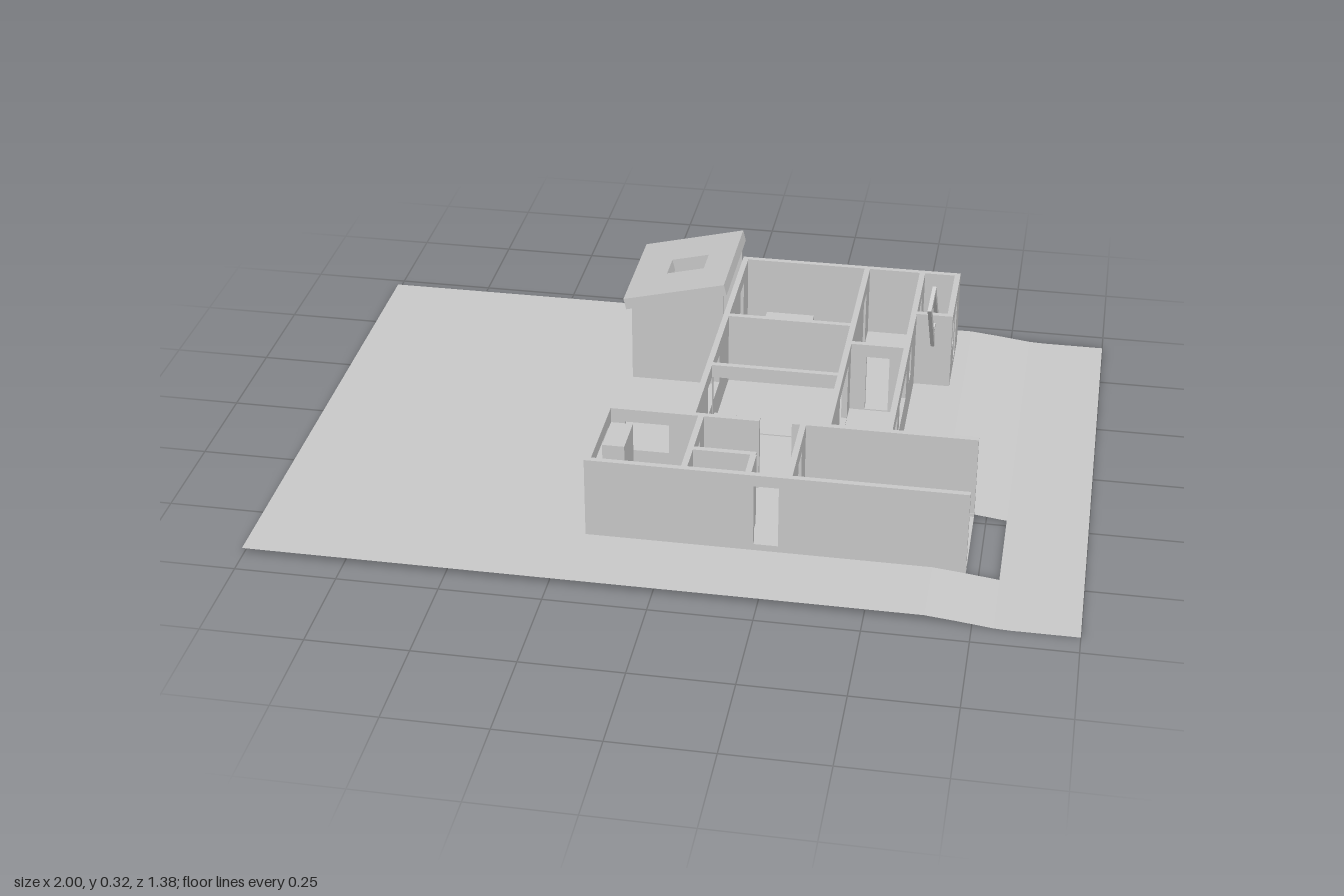
import * as THREE from 'three';

const grey = new THREE.MeshStandardMaterial({ color: 0xcccccc, flatShading: true, side: THREE.DoubleSide });
const yellow = new THREE.MeshStandardMaterial({ color: 0xe0c86a, flatShading: true });

const BASE = 0.02, FLOOR = 0.037, TOP = 0.23;
// opening helpers: [start, end, bottom, top]
const win = (a, b) => [a, b, 0.115, 0.195];
const door = (a, b) => [a, b, 0.04, 0.195];

// flat panel from corner points with rectangular holes, extruded by t
function panel(points, t, holes = []) {
  const s = new THREE.Shape(points.map(p => new THREE.Vector2(p[0], p[1])));
  for (const [a, b, c, d] of holes) {
    s.holes.push(new THREE.Path([[a, c], [a, d], [b, d], [b, c]].map(p => new THREE.Vector2(p[0], p[1]))));
  }
  return new THREE.ExtrudeGeometry(s, { depth: t, bevelEnabled: false });
}
const rect = (a, b, c, d) => [[a, c], [b, c], [b, d], [a, d]];

export function createModel() {
  const group = new THREE.Group();
  const add = (name, geo, mat = grey) => {
    const m = new THREE.Mesh(geo, mat);
    m.name = name;
    group.add(m);
    return m;
  };
  const box = (name, x0, x1, y0, y1, z0, z1, mat) =>
    add(name, new THREE.BoxGeometry(x1 - x0, y1 - y0, z1 - z0)
      .translate((x0 + x1) / 2, (y0 + y1) / 2, (z0 + z1) / 2), mat);
  // wall running along x, from z to z + t
  const wallX = (name, x0, x1, z, holes, t = 0.015) =>
    add(name, panel(rect(x0, x1, BASE, TOP), t, holes).translate(0, 0, z));
  // wall running along z, from x to x + t
  const wallZ = (name, x, z0, z1, holes, t = 0.015) =>
    add(name, panel(rect(z0, z1, BASE, TOP), t, holes).rotateY(-Math.PI / 2).translate(x + t, 0, 0));

  // ground sheet: falls away to the +x side, with a gap for the garage ramp
  const xs = [-1, 0.3, 0.64, 0.72, 0.8, 0.84, 1], zs = [-0.69, 0.23, 0.49, 0.69];
  const height = x => BASE * (1 - THREE.MathUtils.smoothstep(x, 0.62, 0.84));
  const pos = [];
  for (let i = 0; i < xs.length - 1; i++) {
    for (let j = 0; j < 3; j++) {
      if (j === 1 && xs[i] >= 0.3 && xs[i] < 0.79) continue;
      const v = (a, b) => [xs[a], height(xs[a]), zs[b]];
      pos.push(...v(i, j), ...v(i, j + 1), ...v(i + 1, j + 1), ...v(i, j), ...v(i + 1, j + 1), ...v(i + 1, j));
    }
  }
  const ground = new THREE.BufferGeometry();
  ground.setAttribute('position', new THREE.Float32BufferAttribute(pos, 3));
  ground.computeVertexNormals();
  add('ground', ground);

  // floors
  box('mainFloor', 0.015, 0.5, BASE, FLOOR, -0.615, 0.235);
  box('annexFloor', 0.5, 0.6, BASE, FLOOR, -0.615, -0.38);
  box('wingFloor', -0.19, 0.295, BASE, FLOOR, 0.235, 0.48);
  box('shedFloor', -0.23, 0.015, BASE, FLOOR, -0.6, -0.285);
  box('garageFloor', 0.295, 0.72, 0.005, 0.012, 0.23, 0.49);
  box('garageSill', 0.295, 0.3, 0.005, FLOOR, 0.23, 0.49);
  box('garageFooting', 0.3, 0.72, 0.005, BASE, 0.478, 0.49);
  box('garageFooting', 0.3, 0.72, 0.005, BASE, 0.23, 0.242);

  // main block, outer walls
  wallX('backWall', 0.01, 0.605, -0.625);
  wallZ('westWall', 0.01, -0.61, 0.225, [door(-0.535, -0.475), win(-0.13, 0.045)]);
  wallZ('eastWall', 0.495, -0.61, 0.225,
    [door(-0.535, -0.475), win(-0.26, -0.21), win(-0.13, 0.045), win(0.095, 0.195)]);
  // annex on the east side
  wallZ('annexEastWall', 0.59, -0.61, -0.375, [door(-0.535, -0.475), win(-0.45, -0.4)]);
  wallX('annexFrontWall', 0.51, 0.59, -0.39);
  // main block, inner walls
  wallZ('corridorWall', 0.345, -0.61, 0.225, [door(-0.535, -0.475), door(-0.13, 0.045)]);
  wallX('roomWall', 0.025, 0.345, -0.295);
  box('chimneyBreast', 0.12, 0.245, BASE, TOP, -0.32, -0.295);
  wallX('roomBeamWall', 0.025, 0.345, -0.03, [[0.026, 0.344, 0.04, 0.195]]);
  wallX('corridorCrossWall', 0.36, 0.495, -0.2, [door(0.4, 0.46)]);

  // front wing, outer walls
  wallX('frontWall', -0.2, 0.72, 0.475, [[0.21, 0.27, 0.037, 0.2]]);
  wallX('wingBackWall', -0.2, 0.185, 0.225, [win(-0.15, -0.04)]);
  wallX('garageBackWall', 0.265, 0.72, 0.225);
  wallZ('wingWestWall', -0.2, 0.24, 0.475, [win(0.27, 0.45)]);
  // front wing, inner walls
  wallZ('kitchenWall', 0.033, 0.24, 0.475, [door(0.3, 0.37)]);
  wallX('bathWall', 0.048, 0.2, 0.383);
  wallZ('hallWall', 0.187, 0.398, 0.475);
  wallZ('garageInnerWall', 0.285, 0.24, 0.475, [door(0.31, 0.37)]);
  box('wallPier', 0.07, 0.125, BASE, TOP, 0.218, 0.225);

  // kitchen fittings
  box('cabinet', -0.185, -0.13, FLOOR, 0.19, 0.24, 0.35);
  box('counter', -0.13, 0.033, FLOOR, 0.1, 0.435, 0.475);
  box('worktop', -0.18, -0.13, 0.1, 0.115, 0.36, 0.435, yellow);
  box('worktop', -0.18, -0.155, 0.1, 0.115, 0.435, 0.475, yellow);
  box('worktopEdge', -0.13, -0.07, 0.1, 0.11, 0.428, 0.44, yellow);
  box('cupboard', -0.18, -0.14, FLOOR, 0.1, 0.37, 0.475);
  box('stool', -0.08, -0.05, 0.07, 0.08, 0.32, 0.35);
  for (const z of [0.322, 0.345]) box('stoolLeg', -0.068, -0.062, FLOOR, 0.07, z, z + 0.005);

  // lean-to shed with sloping walls at both ends
  const gable = [[-0.235, BASE], [0.01, BASE], [0.01, 0.295], [-0.235, 0.235]];
  for (const z of [-0.603, -0.294]) add('shedSideWall', panel(gable, 0.012).translate(0, 0, z));
  wallZ('shedWestWall', -0.235, -0.591, -0.294, [[-0.56, -0.32, 0.035, 0.2]], 0.012);
  // roof slab with skylight opening
  const roof = panel(rect(0, 0.276, -0.605, -0.28), 0.031, [[0.098, 0.2, -0.48, -0.4]]);
  roof.rotateX(Math.PI / 2).rotateZ(Math.atan2(0.065, 0.268)).translate(-0.257, 0.255, 0);
  add('shedRoof', roof);

  // tilted open frame leaning above the annex wall
  const frame = panel(rect(-0.039, 0.039, -0.096, 0.096), 0.01, [[-0.026, 0.026, -0.012, 0.082], [-0.026, 0.026, -0.08, -0.024]]);
  frame.translate(0, 0, -0.005).rotateY(-Math.PI / 2).rotateX(0.51).rotateY(-0.08).translate(0.555, 0.22, -0.373);
  add('tiltedFrame', frame);

  return group;
}
